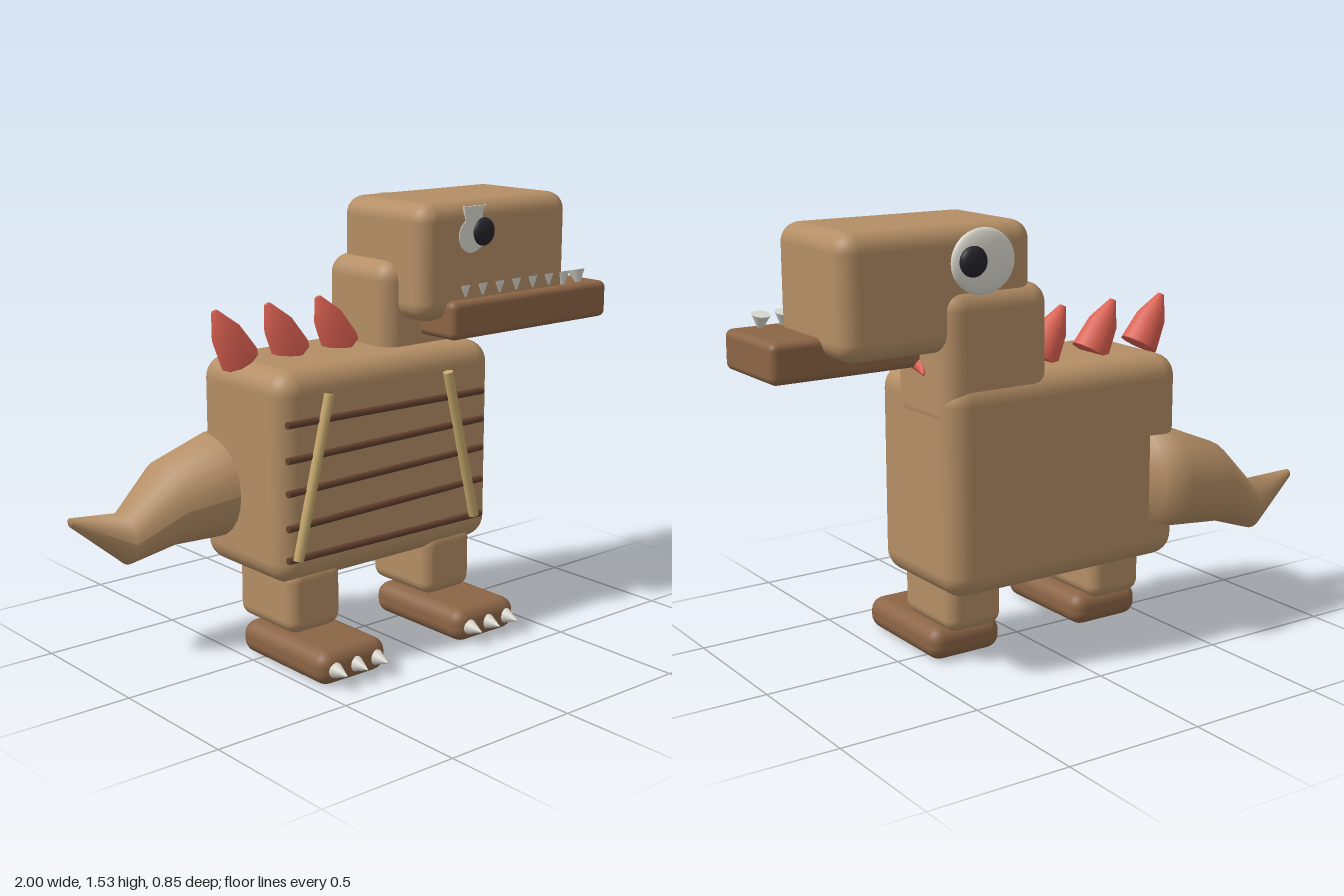
import * as THREE from 'three';
import { RoundedBoxGeometry } from 'three/addons/geometries/RoundedBoxGeometry.js';

const material = (name, color) => {
  const m = new THREE.MeshStandardMaterial({ color });
  m.name = name;
  return m;
};

export function createModel() {
  const model = new THREE.Group();
  model.name = 'boxDinosaur';

  const tan = material('tan skin', 0xb48e65);
  const brown = material('brown skin', 0x8c6546);
  const red = material('red spikes', 0xd95f50);
  const ivory = material('ivory', 0xdcdad0);
  const black = material('black pupil', 0x24242b);
  const darkWood = material('dark wood', 0x63402e);
  const paleWood = material('pale wood', 0xc4a76c);

  const add = (name, geometry, mat) => {
    const mesh = new THREE.Mesh(geometry, mat);
    mesh.name = name;
    model.add(mesh);
    return mesh;
  };

  // Rounded box given by its limits on each axis
  const block = (name, [x0, x1], [y0, y1], [z0, z1], radius, mat) => {
    const g = new RoundedBoxGeometry(x1 - x0, y1 - y0, z1 - z0, 4, radius);
    g.translate((x0 + x1) / 2, (y0 + y1) / 2, (z0 + z1) / 2);
    return add(name, g, mat);
  };

  // Turn a geometry along +y so that it runs from one point to another
  const place = (mesh, from, to) => {
    const a = new THREE.Vector3(...from), b = new THREE.Vector3(...to);
    mesh.position.copy(a);
    mesh.quaternion.setFromUnitVectors(new THREE.Vector3(0, 1, 0), b.clone().sub(a).normalize());
    return mesh;
  };
  const rod = (name, from, to, r0, r1, sides, mat) => {
    const length = new THREE.Vector3(...from).distanceTo(new THREE.Vector3(...to));
    const g = new THREE.CylinderGeometry(r1, r0, length, sides).translate(0, length / 2, 0);
    return place(add(name, g, mat), from, to);
  };
  const ellipsoid = (name, [x, y, z], [rx, ry, rz], mat) => {
    const g = new THREE.SphereGeometry(1, 32, 20).scale(rx, ry, rz).translate(x, y, z);
    return add(name, g, mat);
  };

  // Body, neck, head and jaw
  block('body', [-0.49, 0.465], [0.29, 1.025], [-0.313, 0.172], 0.08, tan);
  block('neck', [0.06, 0.467], [0.85, 1.325], [-0.297, 0.055], 0.07, tan);
  block('head', [0.11, 0.825], [1.12, 1.53], [-0.268, 0.185], 0.065, tan);
  block('jaw', [0.213, 0.997], [1.055, 1.19], [-0.12, 0.225], 0.025, brown);

  // Legs, feet and claws
  for (const x of [-0.34, 0.27]) {
    block('leg', [x - 0.11, x + 0.11], [0.115, 0.345], [-0.155, 0.162], 0.045, tan);
    block('foot', [x - 0.143, x + 0.143], [0, 0.117], [-0.1, 0.365], 0.05, brown);
    for (const dx of [-0.088, 0, 0.088])
      rod('claw', [x + dx, 0.058, 0.35], [x + dx, 0.055, 0.42], 0.032, 0.002, 16, ivory);
  }

  // Tail: a turned profile whose rings are shifted along a bent centre line
  const rings = [ // distance towards -x, centre y, centre z, radius
    [0.35, 0.59, -0.22, 0], [0.35, 0.59, -0.22, 0.185], [0.46, 0.575, -0.24, 0.185],
    [0.66, 0.53, -0.28, 0.148], [0.81, 0.425, -0.31, 0.09],
    [1, 0.515, -0.33, 0.016], [1, 0.515, -0.33, 0],
  ];
  const tail = new THREE.LatheGeometry(rings.map(r => new THREE.Vector2(r[3], r[0])), 24);
  tail.rotateZ(Math.PI / 2);
  const p = tail.attributes.position;
  for (let i = 0; i < p.count; i++) {
    const ring = rings[i % rings.length];
    p.setY(i, p.getY(i) + ring[1]);
    p.setZ(i, p.getZ(i) + ring[2]);
  }
  tail.computeVertexNormals();
  add('tail', tail, tan);

  // Back spikes, leaning towards the tail
  const spikeProfile = [[0, 0], [0.069, 0], [0.069, 0.005], [0.054, 0.11], [0.012, 0.2], [0, 0.2]]
    .map(([r, y]) => new THREE.Vector2(r, y));
  for (let i = 0; i < 3; i++) {
    const x = -0.45 + i * 0.218;
    place(add('backSpike', new THREE.LatheGeometry(spikeProfile, 10), red),
      [x, 1.03, -0.115], [x - 0.1, 1.203, -0.115]);
  }
  // Small red point at the throat
  rod('throatSpike', [0.45, 1.075, -0.08], [0.48, 1.042, -0.165], 0.036, 0.004, 10, red);

  // Teeth, pointing down into the jaw
  for (let i = 0; i < 8; i++) {
    const x = 0.305 + i * 0.0835;
    rod('tooth', [x, 1.234, 0.164], [x, 1.172, 0.178], 0.032, 0.002, 16, ivory);
  }

  // Eyes: the right-hand side one bulges, the other is sunk into the face
  ellipsoid('backEye', [0.335, 1.415, -0.298], [0.12, 0.108, 0.028], ivory);
  ellipsoid('backPupil', [0.385, 1.42, -0.32], [0.05, 0.05, 0.026], black);
  const patch = new THREE.Shape();
  patch.moveTo(0.29, 1.512);
  patch.lineTo(0.395, 1.512);
  patch.quadraticCurveTo(0.37, 1.49, 0.385, 1.455);
  patch.lineTo(0.385, 1.375);
  patch.quadraticCurveTo(0.345, 1.345, 0.315, 1.352);
  patch.bezierCurveTo(0.26, 1.365, 0.255, 1.44, 0.3, 1.462);
  patch.closePath();
  add('frontEye', new THREE.ExtrudeGeometry(patch, { depth: 0.008, bevelEnabled: false })
    .translate(0, 0, 0.18), ivory);
  ellipsoid('frontPupil', [0.385, 1.42, 0.185], [0.05, 0.05, 0.026], black);

  // Rack on the flank: five dark rods held by two pale slats
  const rods = [[0.862, 0.85], [0.742, 0.748], [0.63, 0.642], [0.51, 0.524], [0.4, 0.394]];
  for (const [y0, y1] of rods)
    rod('rackRod', [-0.483, y0, 0.184], [0.395, y1, 0.184], 0.012, 0.012, 10, darkWood);
  rod('rackSlat', [-0.455, 0.4, 0.202], [-0.32, 0.947, 0.202], 0.018, 0.018, 12, paleWood);
  rod('rackSlat', [0.345, 0.4, 0.202], [0.21, 0.947, 0.202], 0.018, 0.018, 12, paleWood);

  return model;
}
